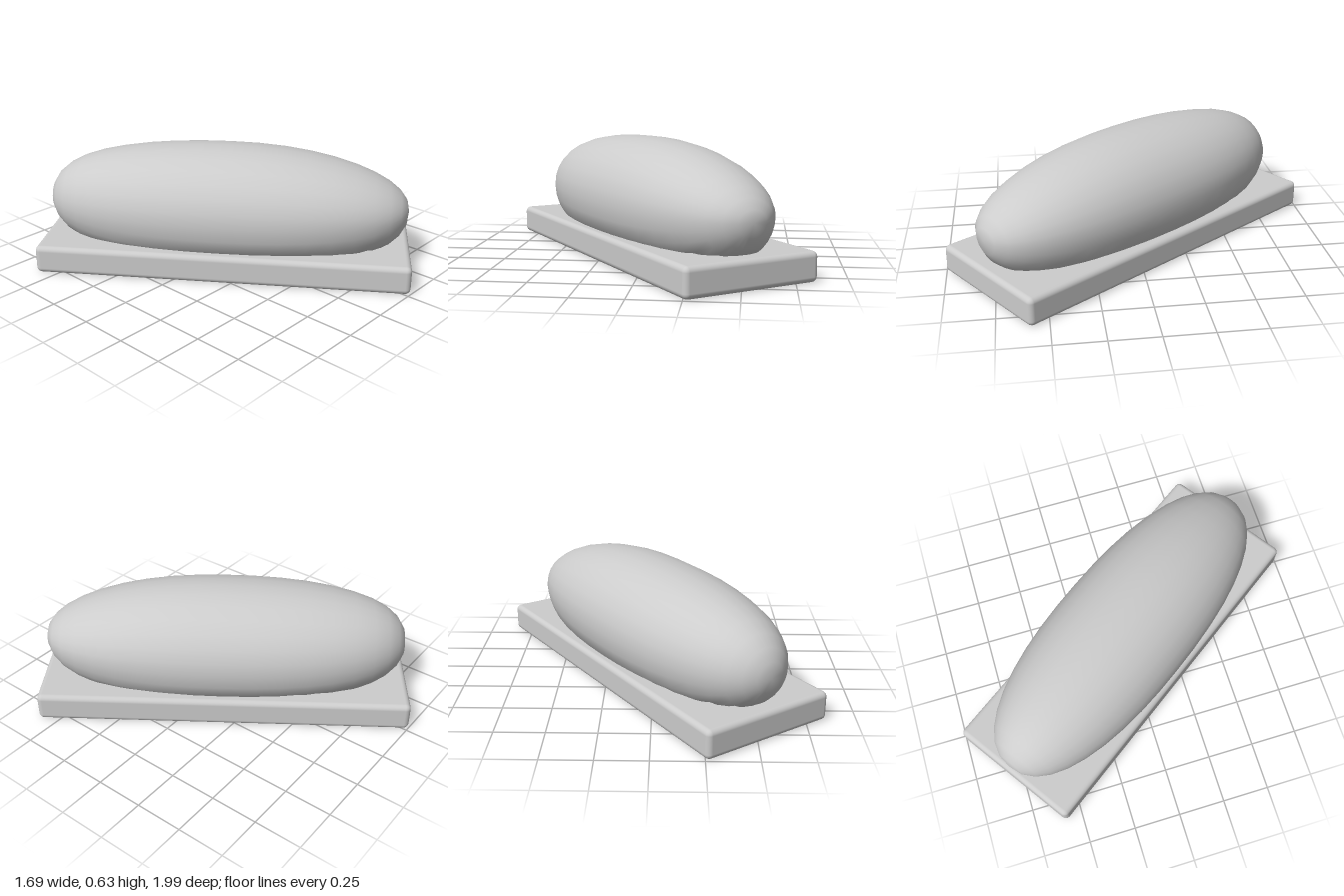
import * as THREE from 'three';
import { mergeVertices } from 'three/addons/utils/BufferGeometryUtils.js';
import { RoundedBoxGeometry } from 'three/addons/geometries/RoundedBoxGeometry.js';

const HALF_LENGTH = 0.965, HALF_WIDTH = 0.363, WAIST = 0.31, POWER = 2.3;

// Ellipsoid along z with full shoulders, one blunt end (-z), one tapering end (+z) and a flat underside
function loafGeometry() {
  let geo = new THREE.SphereGeometry(1, 28, 20);
  geo.rotateX(Math.PI / 2);
  geo.deleteAttribute('uv');
  geo.deleteAttribute('normal');
  geo = mergeVertices(geo, 1e-4);
  const p = geo.attributes.position;
  for (let i = 0; i < p.count; i++) {
    const t = THREE.MathUtils.clamp(p.getZ(i), -1, 1);
    const ring = Math.hypot(p.getX(i), p.getY(i));
    const full = Math.pow(Math.max(0, 1 - Math.pow(Math.abs(t), POWER)), 1 / POWER);
    const k = ring > 1e-4 ? full / ring : 0;
    const x = p.getX(i) * k, y = p.getY(i) * k;
    const rise = t > 0 ? 1 - 0.16 * t * t : 1 + 0.12 * t ** 4;
    const up = y > 0 ? y * 0.325 * rise : y * 0.35;
    p.setXYZ(i, x * HALF_WIDTH, Math.max(WAIST + up, 0.13), t * HALF_LENGTH);
  }
  geo.computeVertexNormals();
  return geo;
}

export function createModel() {
  const group = new THREE.Group();
  group.name = 'loafOnBoard';
  const grey = new THREE.MeshStandardMaterial({ color: 0xcccccc });
  grey.name = 'light grey';

  // Slab with softly rounded edges
  const board = new THREE.Mesh(new RoundedBoxGeometry(0.73, 0.15, 1.95, 3, 0.028), grey);
  board.name = 'board';
  board.position.y = 0.075;

  // Domed body resting on the slab
  const loaf = new THREE.Mesh(loafGeometry(), grey);
  loaf.name = 'loaf';

  // Both parts lie diagonally
  const diagonal = new THREE.Group();
  diagonal.name = 'diagonalPose';
  diagonal.rotation.y = THREE.MathUtils.degToRad(35);
  diagonal.add(board, loaf);
  group.add(diagonal);
  return group;
}
